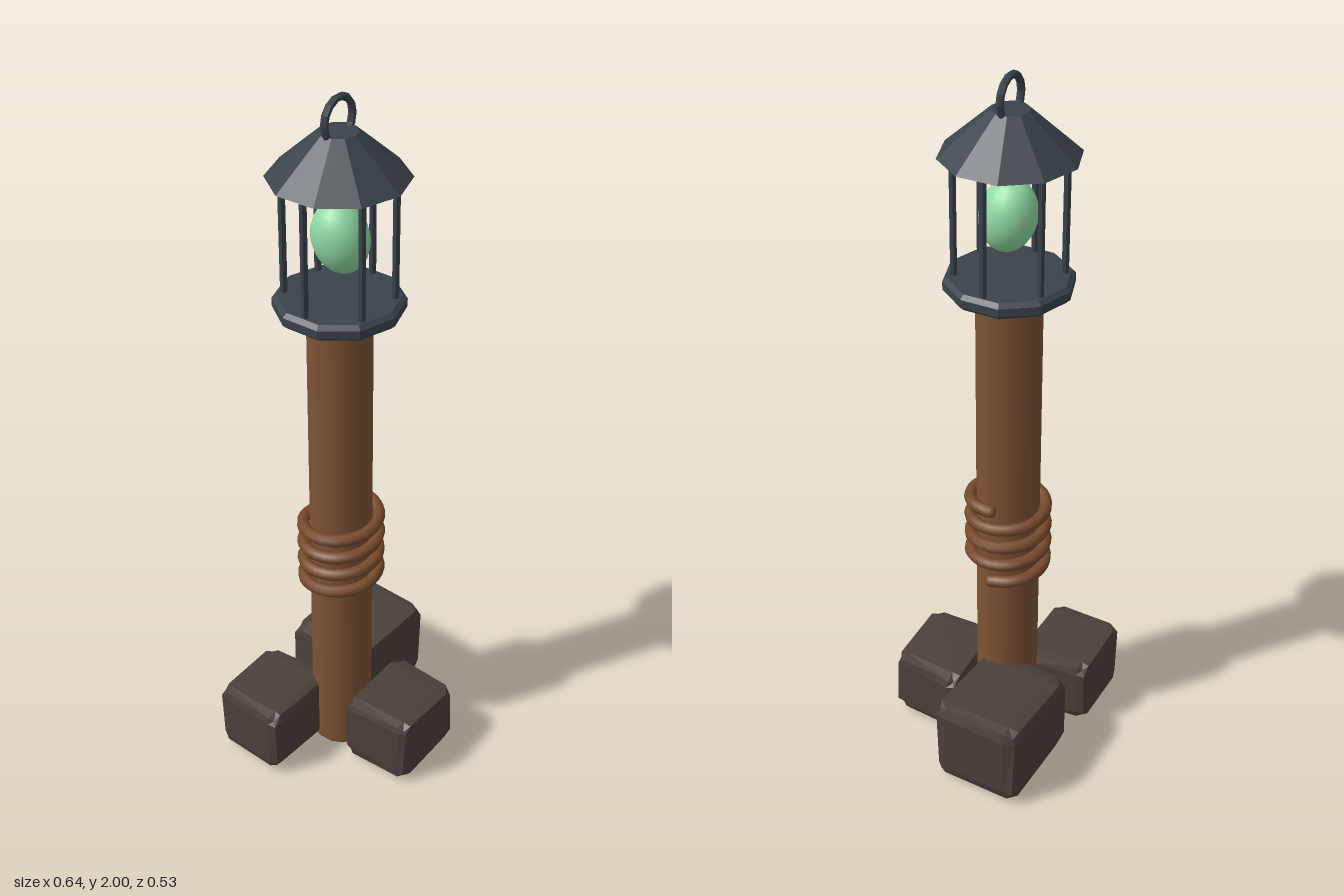
import * as THREE from 'three';

const std = (name, color) => {
  const m = new THREE.MeshStandardMaterial({ color });
  m.name = name;
  return m;
};

export function createModel() {
  const wood = std('wood', 0x7d5335);
  const rope = std('rope', 0x774a2b);
  const stone = std('stone', 0x4b403a);
  stone.flatShading = true;
  const iron = std('iron', 0x3a434b);
  iron.flatShading = true;
  const glow = std('glow', 0x8fd8a2);

  const model = new THREE.Group();
  model.name = 'lanternPost';
  const axis = new THREE.Group(); // everything turned around the post's centre line
  axis.name = 'postAndLantern';
  axis.position.set(-0.033, 0, -0.028);
  model.add(axis);

  const add = (parent, name, geometry, material, x = 0, y = 0, z = 0) => {
    const mesh = new THREE.Mesh(geometry, material);
    mesh.name = name;
    mesh.position.set(x, y, z);
    parent.add(mesh);
    return mesh;
  };
  const lathe = (points, sides) =>
    new THREE.LatheGeometry(points.map(([r, y]) => new THREE.Vector2(r, y)), sides);

  // Wooden post with slightly worn ends
  add(axis, 'post', lathe([[0, 0], [0.081, 0], [0.081, 0], [0.087, 0.008], [0.087, 0.008],
    [0.087, 1.402], [0.087, 1.402], [0.081, 1.41], [0.081, 1.41], [0, 1.41]], 14), wood);

  // Rope wound four times around the post
  const turns = 4;
  const coil = [];
  for (let i = 0; i <= turns * 12; i++) {
    const a = (i / 12) * Math.PI * 2;
    coil.push(new THREE.Vector3(Math.cos(a) * 0.104, 0.795 - (0.235 * i) / (turns * 12), Math.sin(a) * 0.104));
  }
  const coilPath = new THREE.CatmullRomCurve3(coil);
  add(axis, 'ropeCoil', new THREE.TubeGeometry(coilPath, 120, 0.017, 8), rope);
  for (const [name, p] of [['ropeTopEnd', coil[0]], ['ropeBottomEnd', coil[coil.length - 1]]]) {
    add(axis, name, new THREE.SphereGeometry(0.0168, 8, 6), rope, p.x, p.y, p.z);
  }

  // Lantern floor with bevelled rim
  add(axis, 'lanternBase', lathe([[0, 1.425], [0.158, 1.425], [0.17, 1.436], [0.17, 1.458],
    [0.158, 1.469], [0, 1.469]], 10), iron);

  // Six bars
  for (let i = 0; i < 6; i++) {
    const a = (i * Math.PI) / 3;
    add(axis, 'bar', new THREE.CylinderGeometry(0.01, 0.01, 0.35, 6), iron,
      Math.cos(a) * 0.14, 1.635, Math.sin(a) * 0.14);
  }

  // Roof and hanging ring
  add(axis, 'roof', new THREE.CylinderGeometry(0.05, 0.18, 0.117, 10), iron, 0, 1.849, 0);
  add(axis, 'ring', new THREE.TorusGeometry(0.055, 0.01, 6, 14), iron, 0, 1.936, 0);

  // Glowing egg-shaped orb, leaning a little
  const orb = add(axis, 'glowingOrb', new THREE.SphereGeometry(1, 20, 14), glow, 0, 1.63, 0.004);
  orb.scale.set(0.07, 0.096, 0.075);
  orb.rotation.set(-0.15, 0, 0.12);

  // Rough blocks: a chamfered grid box fitted to four ground-plan corners
  // (back left, back right, front right, front left) and a height range
  let seed = 7;
  const rand = () => (seed = (seed * 16807) % 2147483647) / 2147483647 - 0.5;
  const block = (name, corners, y0, y1, slope) => {
    const geo = new THREE.BoxGeometry(2, 2, 2, 3, 3, 3);
    const pos = geo.attributes.position;
    const jitter = new Map();
    for (let i = 0; i < pos.count; i++) {
      let c = [pos.getX(i), pos.getY(i), pos.getZ(i)];
      const key = c.map((v) => Math.round(v * 3)).join();
      if (!jitter.has(key)) jitter.set(key, [rand(), rand(), rand()]);
      const outer = c.filter((v) => Math.abs(v) > 0.9).length;
      const pull = [1, 1, 0.955, 0.88][outer];
      c = c.map((v, k) => (Math.abs(v) > 0.9 ? Math.sign(v) * pull : Math.sign(v) * 0.74)
        + jitter.get(key)[k] * (outer === 1 && Math.abs(v) > 0.9 ? 0.02 : 0.07));
      const u = (c[0] + 1) / 2, h = (c[1] + 1) / 2, w = (c[2] + 1) / 2;
      const mix = (k) => (1 - w) * ((1 - u) * corners[0][k] + u * corners[1][k])
        + w * ((1 - u) * corners[3][k] + u * corners[2][k]);
      pos.setXYZ(i, mix(0), y0 + h * (y1 - y0 + slope * (u - 0.5)), mix(1));
    }
    geo.computeVertexNormals();
    add(model, name, geo, stone);
  };
  block('backRightStone', [[-0.305, -0.265], [-0.07, -0.262], [-0.055, -0.048], [-0.322, -0.048]], 0.02, 0.213, 0);
  block('backLeftStone', [[0.01, -0.242], [0.318, -0.232], [0.303, 0.028], [-0.005, 0.008]], 0.01, 0.252, 0.014);
  block('frontStone', [[-0.132, 0.055], [0.138, 0.055], [0.112, 0.264], [-0.128, 0.264]], 0.01, 0.202, -0.012);

  return model;
}
